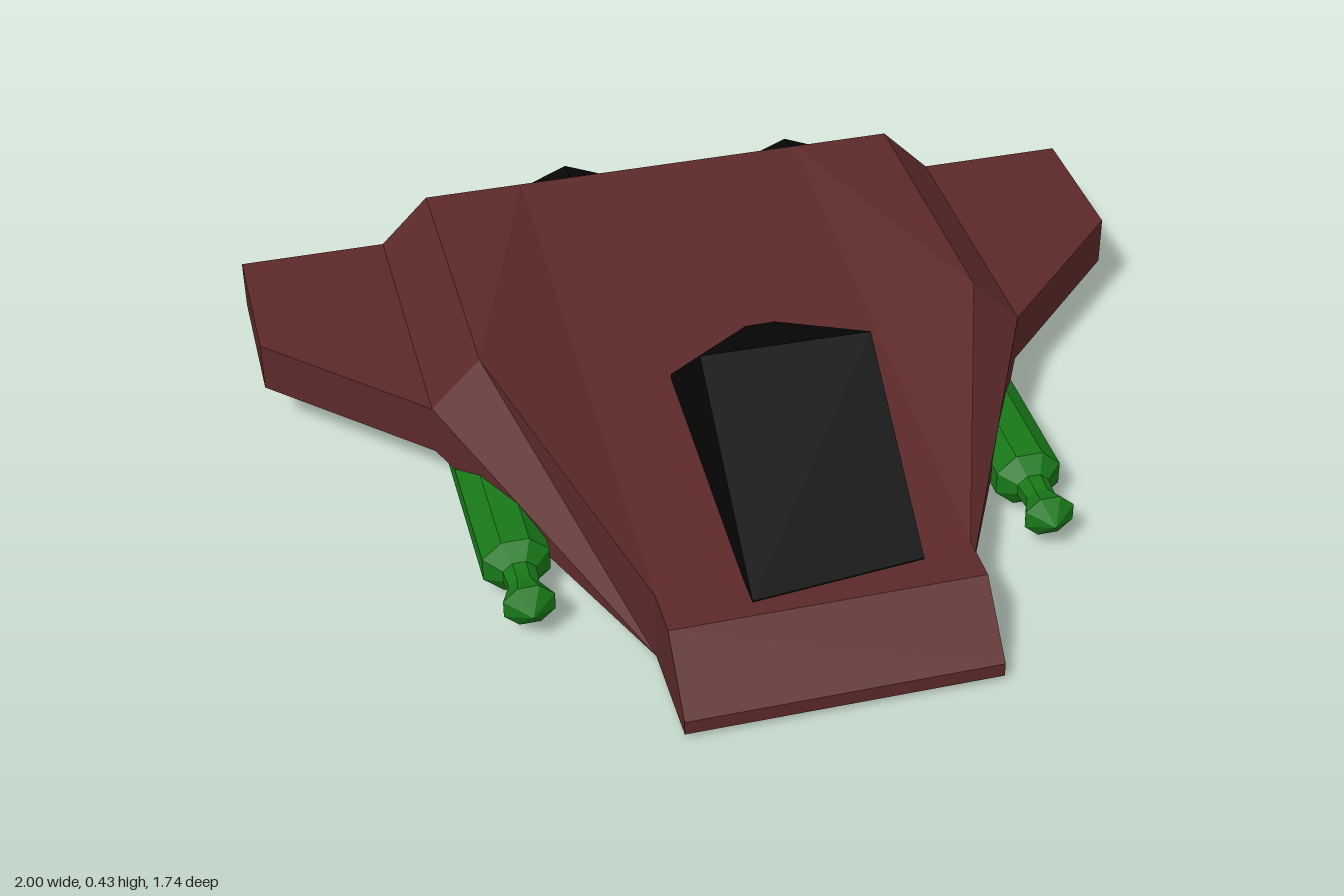
import * as THREE from 'three';
import { ConvexGeometry } from 'three/addons/geometries/ConvexGeometry.js';

const paint = (color) => new THREE.MeshStandardMaterial({ color, flatShading: true });
const red = paint(0x5c2929), black = paint(0x060606), green = paint(0x187818);

function part(name, geometry, material) {
  const mesh = new THREE.Mesh(geometry, material);
  mesh.name = name;
  return mesh;
}

// Symmetric ten-point section from its right half, counter-clockwise seen from the front
function section(z, right) {
  const left = right.map(([x, y]) => [-x, y]).reverse();
  return [...right, ...left].map(([x, y]) => [x, y, z]);
}

// Closed skin over sections ordered from rear to front, with mirrored diagonals
function loft(rings) {
  const pos = [];
  const tri = (a, b, c) => pos.push(...a, ...b, ...c);
  const n = rings[0].length;
  for (let i = 0; i < rings.length - 1; i++) {
    const r = rings[i], s = rings[i + 1];
    for (let j = 0; j < n; j++) {
      const k = (j + 1) % n;
      if (j < n / 2) {
        tri(r[j], r[k], s[j]);
        tri(r[k], s[k], s[j]);
      } else {
        tri(r[j], r[k], s[k]);
        tri(r[j], s[k], s[j]);
      }
    }
  }
  const rear = rings[0], front = rings[rings.length - 1];
  for (let j = 1; j < n - 1; j++) {
    tri(rear[0], rear[j + 1], rear[j]);
    tri(front[0], front[j], front[j + 1]);
  }
  const g = new THREE.BufferGeometry();
  g.setAttribute('position', new THREE.Float32BufferAttribute(pos, 3));
  g.computeVertexNormals();
  return g;
}

// Eight-sided turned solid along z, profile given as [radius, z]
function turned(profile, phase = 0) {
  const points = profile.map(([r, z]) => new THREE.Vector2(r, z));
  return new THREE.LatheGeometry(points, 8, phase).rotateX(Math.PI / 2);
}

export function createModel() {
  const model = new THREE.Group();
  model.name = 'spaceship';

  // Hull: the middle of the deck slopes from the tail to the nose, between raised shoulders
  const body = (inner) => [[0.56, 0.015], [0.67, 0.12], [0.67, 0.234], [0.56, 0.345], [0.335, inner]];
  const nose = (top) => [[0.335, 0.015], [0.335, 0.015], [0.335, 0.015], [0.335, top], [0.335, top]];
  model.add(part('hull', loft([
    section(-0.70, body(0.345)),
    section(-0.03, body(0.26)),
    section(0.63, nose(0.177)),
    section(0.74, nose(0.177)),
    section(0.87, nose(0.047)),
  ]), red));

  // Wedge canopy, slightly skewed and sunk into the deck
  const rim = [[-0.15, 0.70], [0.225, 0.66], [0.245, 0.20], [0.12, -0.10], [0.05, -0.10], [-0.15, 0.02]];
  const rimHeights = [0.18, 0.18, 0.235, 0.275, 0.275, 0.265];
  const canopy = [new THREE.Vector3(-0.13, 0.435, 0.20), new THREE.Vector3(0.245, 0.43, 0.20)];
  rim.forEach(([x, z], i) => canopy.push(
    new THREE.Vector3(x, rimHeights[i], z), new THREE.Vector3(x, 0.15, z)));
  model.add(part('canopy', new ConvexGeometry(canopy), black));

  // Wings and guns, mirrored
  for (const s of [1, -1]) {
    const side = s > 0 ? 'left' : 'right';

    const outline = new THREE.Shape(
      [[0.66, -0.70], [1, -0.70], [1, -0.36], [0.67, -0.03], [0.66, -0.03]]
        .map(([x, z]) => new THREE.Vector2(s * x, z)));
    const wing = new THREE.ExtrudeGeometry(outline, { depth: 0.114, bevelEnabled: false });
    wing.rotateX(Math.PI / 2).translate(0, 0.234, 0);
    model.add(part(side + 'Wing', wing, red));

    const gun = part(side + 'Gun', turned([
      [0, -0.06], [0.069, -0.06], [0.069, 0.35], [0.034, 0.383],
      [0.031, 0.43], [0.052, 0.485], [0, 0.528],
    ], Math.PI / 8), green);
    gun.scale.x = 1.13;
    gun.position.set(s * 0.567, 0.083, 0);
    model.add(gun);
  }

  // Faceted engine bulbs, set a little unevenly
  const bulb = [[0, -0.175], [0.068, -0.175], [0.16, -0.095],
    [0.16, 0.095], [0.068, 0.175], [0, 0.175]];
  const engines = [['rightEngine', -0.21, 0.162, -0.695, 1], ['leftEngine', 0.33, 0.168, -0.681, 0.97]];
  for (const [name, x, y, z, size] of engines) {
    const engine = part(name, turned(bulb), black);
    engine.position.set(x, y, z);
    engine.scale.setScalar(size);
    model.add(engine);
  }

  return model;
}
